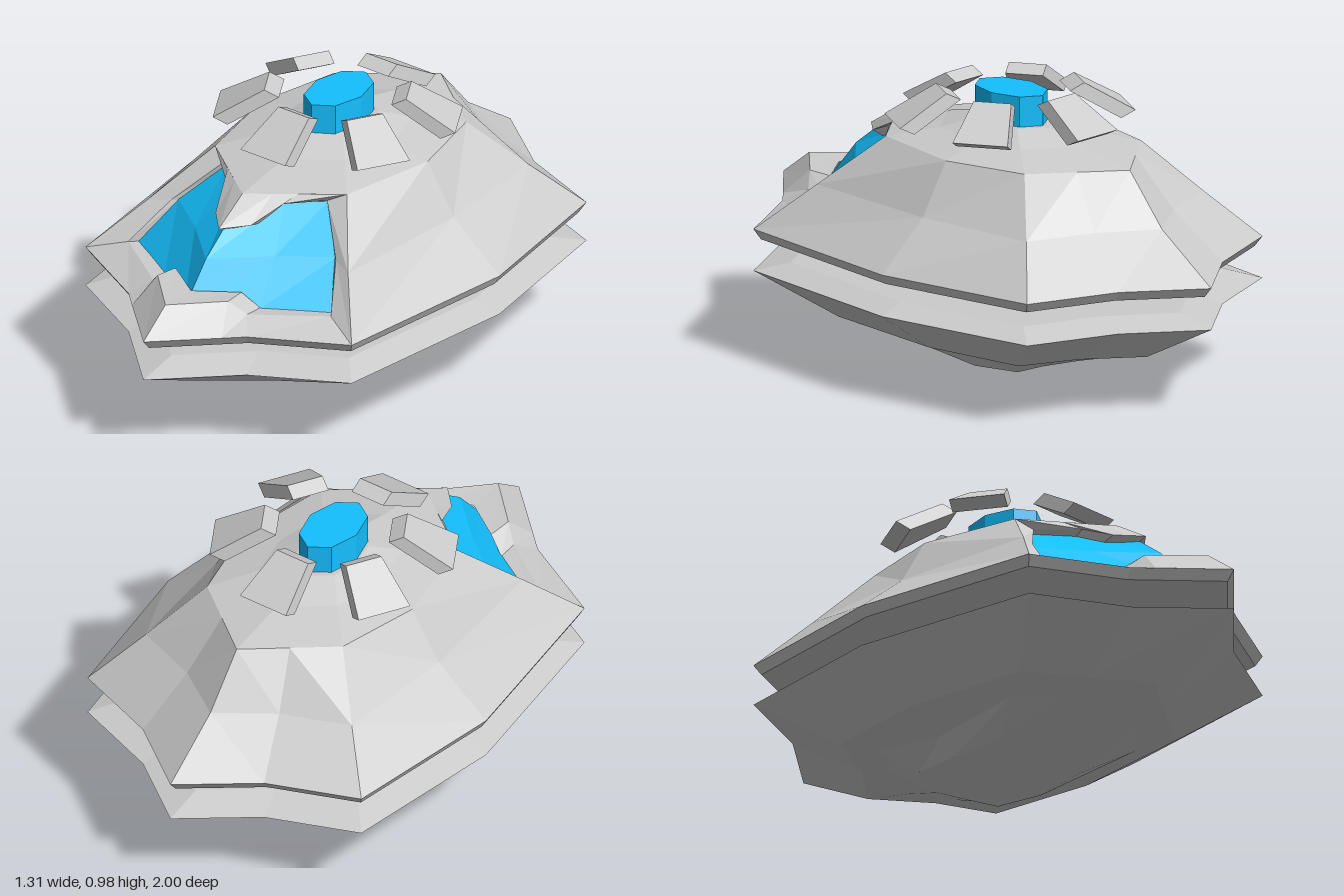
import * as THREE from 'three';

const grey = new THREE.MeshStandardMaterial({ color: 0xcccccc, flatShading: true, side: THREE.DoubleSide });
const blue = new THREE.MeshStandardMaterial({ color: 0x14c0ff, flatShading: true, side: THREE.DoubleSide });

// Surface through rows of [x, y, z] points on the +x half, mirrored to -x
function mirroredLoft(name, rows, material) {
  const pos = [];
  const tri = (a, b, c) => {
    pos.push(...a, ...b, ...c);
    for (const p of [c, b, a]) pos.push(-p[0], p[1], p[2]);
  };
  for (let r = 0; r < rows.length - 1; r++) {
    const a = rows[r], b = rows[r + 1];
    for (let i = 0; i < a.length - 1; i++) {
      tri(a[i], a[i + 1], b[i + 1]);
      tri(a[i], b[i + 1], b[i]);
    }
  }
  const g = new THREE.BufferGeometry();
  g.setAttribute('position', new THREE.Float32BufferAttribute(pos, 3));
  g.computeVertexNormals();
  const mesh = new THREE.Mesh(g, material);
  mesh.name = name;
  return mesh;
}

// Half ring [x, z] from front tip to back tip, lifted to y and scaled about z = cz
const ring = (pts, y, s = 1, cz = 0) => pts.map(([x, z]) => [x * s, y, cz + (z - cz) * s]);

const RIM = [[0, 1], [0.25, 0.76], [0.565, 0.59], [0.655, -0.1], [0.565, -0.69], [0.25, -0.81], [0, -1]];
const ROOF = [[0, 0.46], [0.14, 0.355], [0.28, 0.25], [0.35, -0.1], [0.28, -0.4], [0.14, -0.51], [0, -0.62]];

export function createModel() {
  const model = new THREE.Group();
  const add = (name, rows, material = grey) => model.add(mirroredLoft(name, rows, material));

  // Lower hull: flat deck, sharp rim, grooved belly
  add('lowerHull', [
    ring(RIM, 0.335, 0, -0.05),
    ring(RIM, 0.335, 0.85, -0.02),
    ring(RIM, 0.305),
    [[0, 0.15, 0.63], [0.18, 0.15, 0.5], [0.38, 0.15, 0.37], [0.43, 0.15, -0.1], [0.38, 0.15, -0.47], [0.18, 0.15, -0.56], [0, 0.15, -0.7]],
    [[0, 0.11, 0.43], [0.17, 0.125, 0.38], [0.3, 0.12, 0.25], [0.27, 0.1, -0.1], [0.3, 0.12, -0.37], [0.16, 0.12, -0.45], [0, 0.11, -0.52]],
    [[0, 0.07, 0.25], [0.13, 0.07, 0.2], [0.19, 0.05, 0.1], [0.21, 0.04, -0.1], [0.19, 0.05, -0.28], [0.13, 0.07, -0.34], [0, 0.07, -0.38]],
    ring(RIM, 0, 0, -0.1),
  ]);

  // Upper hull: underside and rim band
  add('upperHullBase', [ring(RIM, 0.415, 0, -0.05), ring(RIM, 0.415, 0.97), ring(RIM, 0.45)]);

  // Upper hull: sides and back
  add('upperHullShell', [
    ring(RIM, 0.45).slice(2),
    [[0.425, 0.61, 0.43], [0.46, 0.61, -0.1], [0.425, 0.61, -0.55], [0.19, 0.61, -0.64], [0, 0.61, -0.77]],
    ring(ROOF, 0.785).slice(2),
  ]);

  // Stepped roof
  add('roof', [
    ring(ROOF, 0.785),
    ring(ROOF, 0.82, 0.58, -0.08),
    ring(ROOF, 0.857, 0.3, -0.08),
    ring(ROOF, 0.857, 0, -0.08),
  ]);

  // Cockpit frame: sill, corner posts and pointed visor, turned in to the glass
  add('cockpitFrame', [
    [[0, 0.45, 1], [0.19, 0.45, 0.818], [0.25, 0.45, 0.76], [0.565, 0.45, 0.59], [0.425, 0.61, 0.43],
      [0.28, 0.785, 0.25], [0.15, 0.785, 0.348], [0.08, 0.785, 0.4], [0, 0.785, 0.46]],
    [[0, 0.54, 0.88], [0.15, 0.54, 0.73], [0.2, 0.49, 0.69], [0.43, 0.49, 0.53], [0.35, 0.62, 0.4],
      [0.22, 0.755, 0.28], [0.11, 0.755, 0.4], [0.075, 0.71, 0.51], [0, 0.705, 0.59]],
    [[0, 0.535, 0.74], [0.14, 0.535, 0.645], [0.2, 0.485, 0.62], [0.41, 0.485, 0.5], [0.33, 0.62, 0.38],
      [0.21, 0.74, 0.26], [0.1, 0.735, 0.35], [0.07, 0.69, 0.44], [0, 0.685, 0.54]],
  ]);

  // Cockpit glass with a centre ridge
  add('cockpitGlass', [
    [[0, 0.48, 0.78], [0.2, 0.48, 0.63], [0.415, 0.48, 0.5]],
    [[0, 0.62, 0.66], [0.17, 0.62, 0.5], [0.335, 0.62, 0.38]],
    [[0, 0.75, 0.49], [0.1, 0.75, 0.355], [0.215, 0.75, 0.255]],
  ], blue);

  // Beacon on the roof
  const beacon = new THREE.Mesh(new THREE.CylinderGeometry(1, 1, 1, 8), blue);
  beacon.name = 'beacon';
  beacon.scale.set(0.095, 0.11, 0.148);
  beacon.position.set(0, 0.907, -0.065);
  model.add(beacon);

  // Six slanted, tapered petals floating around the beacon
  const corners = [[0.24, 0.975, 0.065], [0.41, 0.875, 0.095], [0.36, 0.85, 0.095], [0.19, 0.95, 0.065], [0.24, 0.975, 0.065]];
  const petalRows = [
    corners.map(() => [0, 0.9125, 0.3]),
    corners.map(([r, y, w]) => [w, y, r]),
  ];
  for (let i = 0; i < 6; i++) {
    const petal = new THREE.Group();
    petal.name = 'petal' + (i + 1);
    petal.add(mirroredLoft('petalSides', [petalRows[1]], grey));
    petal.children[0].geometry = petalGeometry(corners);
    petal.position.z = -0.06;
    petal.rotation.y = i * Math.PI / 3;
    model.add(petal);
  }
  return model;
}

// Slanted box with its four corners [radius, y, half width] in the radial plane
function petalGeometry(c) {
  const g = new THREE.BoxGeometry(2, 1, 1).toNonIndexed();
  const p = g.attributes.position;
  for (let i = 0; i < p.count; i++) {
    const outer = p.getZ(i) > 0, top = p.getY(i) > 0;
    const [r, y, w] = c[top ? (outer ? 1 : 0) : (outer ? 2 : 3)];
    p.setXYZ(i, Math.sign(p.getX(i)) * w, y, r);
  }
  g.computeVertexNormals();
  return g;
}
